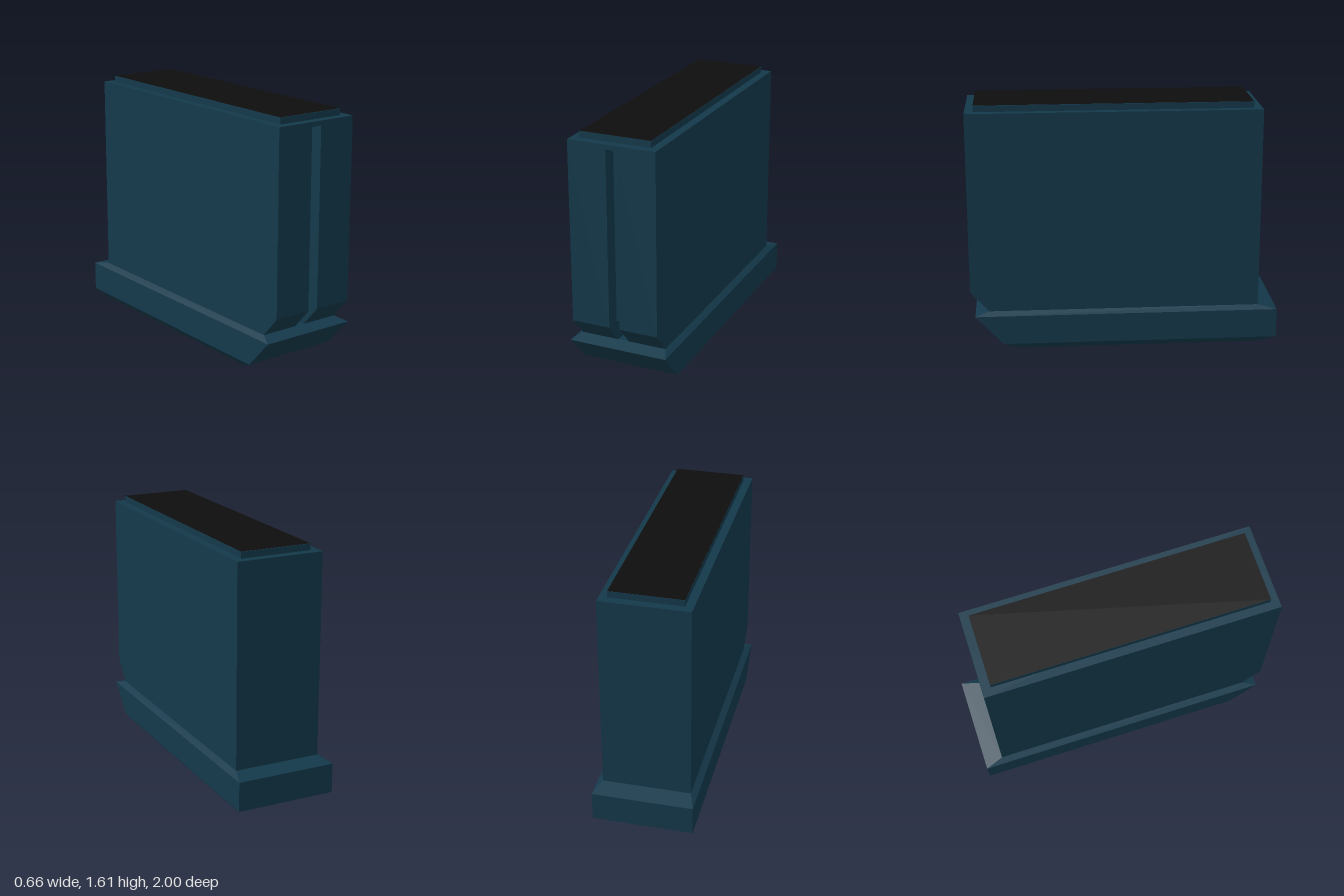
import * as THREE from 'three';

const blue = new THREE.MeshStandardMaterial({ color: 0x14394b });
const black = new THREE.MeshStandardMaterial({ color: 0x0d0d0d });

// Flat-faced solid through rings of equal length, with fan caps at both ends
function loft(rings) {
  const pos = [];
  const tri = (a, b, c) => {
    const area = new THREE.Triangle(a, b, c).getArea();
    if (area > 1e-7) for (const p of [a, b, c]) pos.push(p.x, p.y, p.z);
  };
  for (let i = 0; i < rings.length - 1; i++) {
    const r = rings[i], s = rings[i + 1], n = r.length;
    for (let j = 0; j < n; j++) {
      const k = (j + 1) % n;
      tri(r[j], r[k], s[k]);
      tri(r[j], s[k], s[j]);
    }
  }
  const first = rings[0], last = rings[rings.length - 1];
  for (let j = 1; j < first.length - 1; j++) {
    tri(first[0], first[j + 1], first[j]);
    tri(last[0], last[j], last[j + 1]);
  }
  const geo = new THREE.BufferGeometry();
  geo.setAttribute('position', new THREE.Float32BufferAttribute(pos, 3));
  geo.computeVertexNormals();
  return geo;
}

function part(name, geo, material = blue) {
  const mesh = new THREE.Mesh(geo, material);
  mesh.name = name;
  return mesh;
}

export function createModel() {
  const model = new THREE.Group();
  model.name = 'boxWithBase';

  // Body: side profile swept across x, stepping inward by d for the front groove
  const section = (x, d) => [
    [1, 1.57], [1, 1.54], [1 - d, 1.54], [1 - d, 0.395],
    [0.88 - d, 0.26], [-0.88, 0.26], [-0.88, 1.57],
  ].map(([z, y]) => new THREE.Vector3(x, y, z));
  const w = 0.285, g = 0.035, depth = 0.1;
  model.add(part('body', loft([
    section(-w, 0), section(-g, 0), section(-g, depth),
    section(g, depth), section(g, 0), section(w, 0),
  ])));

  // Base: bevelled plate with a raked front, stacked from rectangles
  const level = (y, hx, front, back) => [
    [hx, front], [hx, back], [-hx, back], [-hx, front],
  ].map(([x, z]) => new THREE.Vector3(x, y, z));
  model.add(part('base', loft([
    level(0, 0.285, 0.69, -0.88),
    level(0.045, 0.325, 0.79, -1),
    level(0.237, 0.325, 0.97, -1),
    level(0.26, 0.285, 0.88, -0.88),
  ])));

  // Raised rim with a dark panel on top
  const rim = part('topRim', new THREE.BoxGeometry(0.465, 0.04, 1.77));
  rim.position.set(0, 1.59, 0.06);
  const panel = part('topPanel', new THREE.PlaneGeometry(0.465, 1.77), black);
  panel.rotation.x = -Math.PI / 2;
  panel.position.set(0, 1.612, 0.06);
  model.add(rim, panel);

  // Slight turn about the vertical axis
  model.rotation.y = 0.006;
  return model;
}
